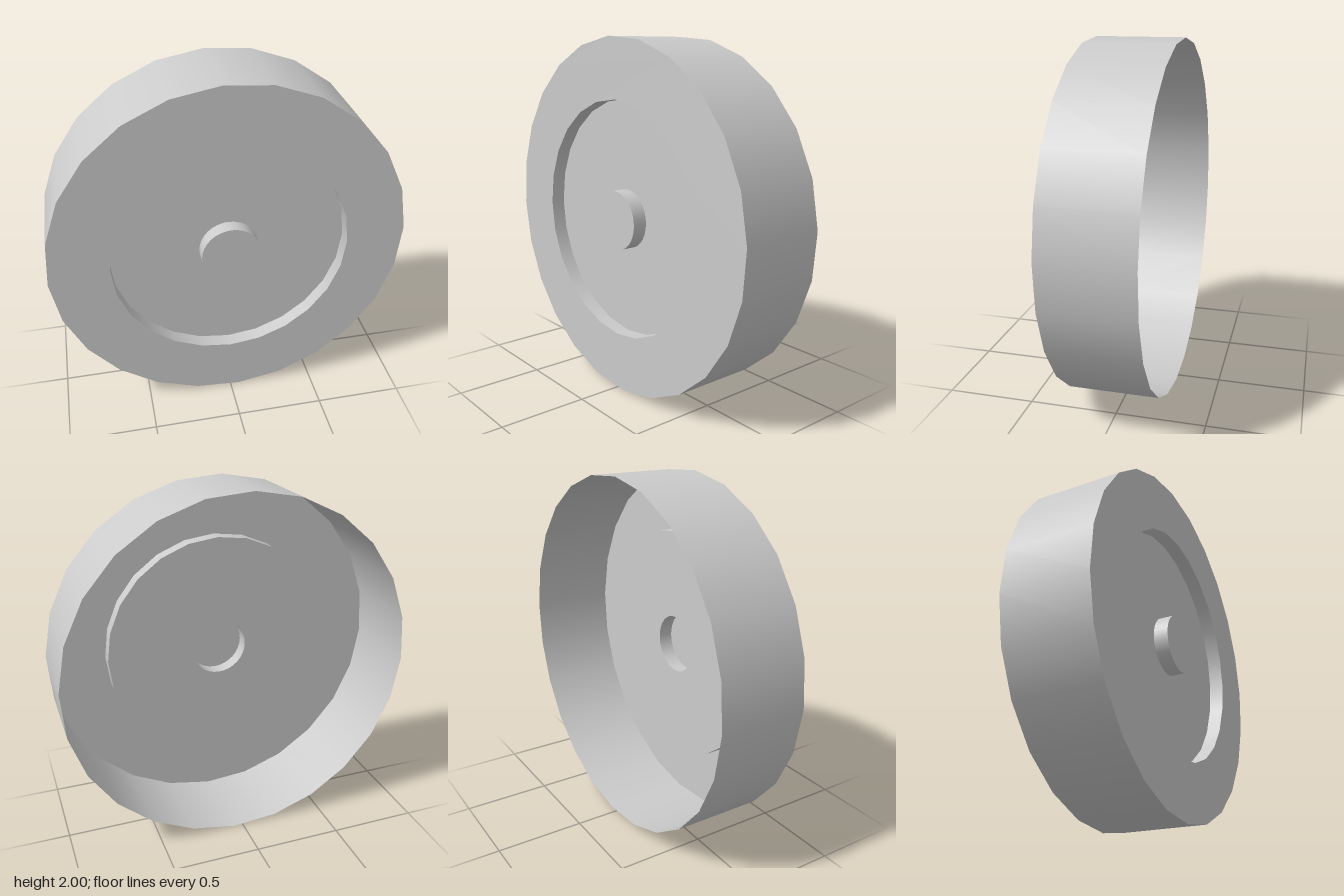
import * as THREE from 'three';

const SIDES = 24;
const FRONT = 0.25, RECESS = 0.167, BACK = -0.25;
const TWIST = THREE.MathUtils.degToRad(3); // rim is turned slightly against the disc
const R_RIM = 1.0014, R_DISC = 0.667, R_HUB = 0.166;

const material = new THREE.MeshStandardMaterial({ color: 0xcccccc, side: THREE.DoubleSide });

// Corners of a regular polygon
function polygon(radius, sides, turn = 0) {
  return Array.from({ length: sides }, (_, i) => {
    const a = turn + (i / sides) * Math.PI * 2;
    return new THREE.Vector2(Math.cos(a) * radius, Math.sin(a) * radius);
  });
}

// Flat face looking along +z, with an optional hole
function face(outer, hole, z) {
  const shape = new THREE.Shape(outer);
  if (hole) shape.holes.push(new THREE.Path(hole));
  return new THREE.ShapeGeometry(shape).translate(0, 0, z);
}

// Open, smooth tube along z
function wall(radius, sides, z0, z1, turn = 0) {
  return new THREE.CylinderGeometry(radius, radius, z1 - z0, sides, 1, true)
    .rotateX(Math.PI / 2)
    .rotateZ(turn)
    .translate(0, 0, (z0 + z1) / 2);
}

export function createModel() {
  const wheel = new THREE.Group();
  wheel.name = 'wheel';
  const add = (name, geometry) => {
    const mesh = new THREE.Mesh(geometry, material);
    mesh.name = name;
    mesh.position.y = 1;
    wheel.add(mesh);
  };

  const rim = polygon(R_RIM, SIDES, TWIST);
  const disc = polygon(R_DISC, SIDES);
  const hub = polygon(R_HUB, 32);

  // Outer shell, open at the back
  add('tread', wall(R_RIM, SIDES, BACK, FRONT, TWIST));
  add('sidewall', face(rim, disc, FRONT));

  // Recessed disc
  add('recessWall', wall(R_DISC, SIDES, RECESS, FRONT));
  add('disc', face(disc, hub, RECESS));

  // Hub, hollow from behind
  add('hubWall', wall(R_HUB, 32, RECESS, FRONT));
  add('hubCap', face(hub, null, FRONT));

  return wheel;
}
